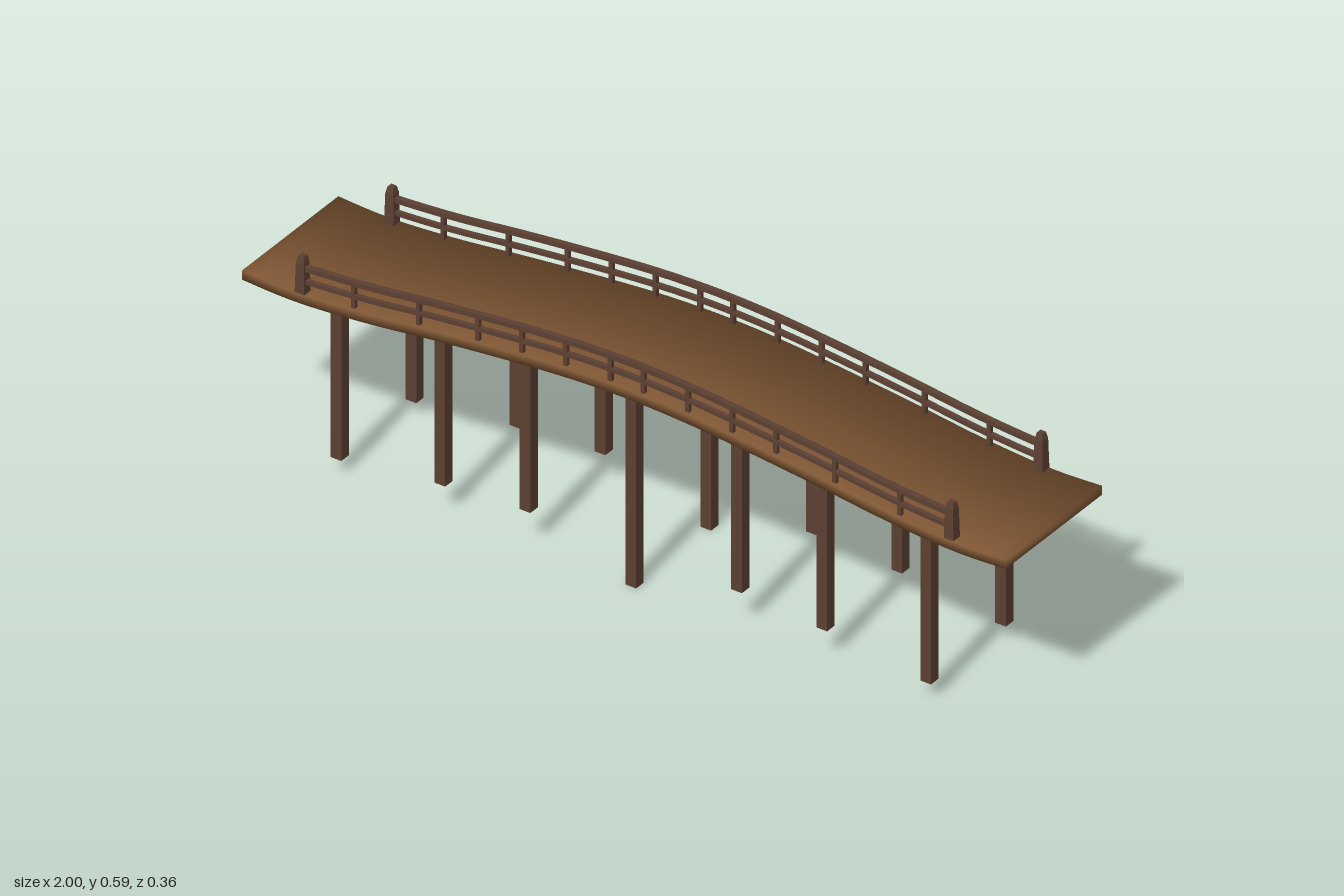
import * as THREE from 'three';

const deckWood = new THREE.MeshStandardMaterial({ color: 0x7d5533 });
deckWood.name = 'deck wood';
const darkWood = new THREE.MeshStandardMaterial({ color: 0x5c4033 });
darkWood.name = 'dark wood';

// Height of the walking surface along x, as a smooth symmetric arch
const half = [[0, 0.518], [0.14, 0.514], [0.28, 0.503], [0.5, 0.48], [0.66, 0.46], [0.77, 0.45], [0.86, 0.445], [0.93, 0.446], [1, 0.45]];
const points = [...half.slice(1).reverse().map(([x, y]) => [-x, y]), ...half];
const arch = new THREE.CatmullRomCurve3(points.map(([x, y]) => new THREE.Vector3(x, y, 0)));
const samples = arch.getPoints(320);
function deckY(x) {
  let i = 0;
  while (i < samples.length - 2 && samples[i + 1].x < x) i++;
  const a = samples[i], b = samples[i + 1];
  return a.y + ((b.y - a.y) * (x - a.x)) / (b.x - a.x);
}

// Rectangular section swept along the arch; soft bends normals over the edges
function sweep(length, top, height, width, soft) {
  const steps = 64, pos = [], nor = [], idx = [];
  const corners = [[0, 1], [0, -1], [1, -1], [1, 1]];
  for (let i = 0; i <= steps; i++) {
    const x = (i / steps - 0.5) * length;
    const slope = (deckY(Math.min(x + 0.01, 1)) - deckY(Math.max(x - 0.01, -1))) / 0.02;
    const endX = i === 0 ? -1 : i === steps ? 1 : 0;
    for (const [low, side] of corners) {
      pos.push(x, deckY(x) + top - low * height, side * width / 2);
      const up = low ? -1 : 1;
      const n = new THREE.Vector3(-slope * up + endX, up, side).normalize();
      nor.push(n.x, n.y, n.z);
    }
  }
  for (let i = 0; i < steps; i++) {
    for (let k = 0; k < 4; k++) {
      const a = i * 4 + k, b = i * 4 + (k + 1) % 4;
      idx.push(a, a + 4, b, b, a + 4, b + 4);
    }
  }
  const e = steps * 4;
  idx.push(0, 1, 2, 0, 2, 3, e, e + 2, e + 1, e, e + 3, e + 2);
  let geo = new THREE.BufferGeometry();
  geo.setAttribute('position', new THREE.Float32BufferAttribute(pos, 3));
  geo.setAttribute('normal', new THREE.Float32BufferAttribute(nor, 3));
  geo.setIndex(idx);
  if (!soft) {
    geo = geo.toNonIndexed();
    geo.computeVertexNormals();
  }
  return geo;
}

function add(parent, name, geo, mat, x = 0, y = 0, z = 0) {
  const mesh = new THREE.Mesh(geo, mat);
  mesh.name = name;
  mesh.position.set(x, y, z);
  parent.add(mesh);
  return mesh;
}

// Upright box between two heights
function upright(parent, name, x, z, y0, y1, w) {
  add(parent, name, new THREE.BoxGeometry(w, y1 - y0, w), darkWood, x, (y0 + y1) / 2, z);
}

// Square end post with a slight taper and a bevelled cap
function endPostGeometry() {
  const profile = [[0, 0], [0.0125, 0], [0.0105, 0.076], [0.007, 0.092], [0, 0.092]];
  const geo = new THREE.LatheGeometry(profile.map(([r, y]) => new THREE.Vector2(r * Math.SQRT2, y)), 4)
    .rotateY(Math.PI / 4).toNonIndexed();
  geo.computeVertexNormals();
  return geo;
}

export function createModel() {
  const bridge = new THREE.Group();
  bridge.name = 'archedFootbridge';

  add(bridge, 'deck', sweep(2, 0, 0.023, 0.36, true), deckWood);

  const legs = [[0, 0], [0.277, 0.09], [0.5, 0.075], [0.772, 0.04]];
  const balusters = [0.043, 0.16, 0.275, 0.39, 0.545, 0.715];

  for (const side of [-1, 1]) {
    // Supporting legs, each cut to its own ground level
    const legRow = new THREE.Group();
    legRow.name = side > 0 ? 'frontLegs' : 'backLegs';
    for (const [lx, foot] of legs) {
      for (const s of lx ? [-1, 1] : [1]) {
        upright(legRow, 'leg', s * lx, side * 0.14, foot, deckY(s * lx) - 0.012, 0.028);
      }
    }
    bridge.add(legRow);

    // Railing: two rails, balusters and end posts
    const railing = new THREE.Group();
    railing.name = side > 0 ? 'frontRailing' : 'backRailing';
    railing.position.z = side * 0.167;
    add(railing, 'topRail', sweep(1.7, 0.069, 0.012, 0.014, false), darkWood);
    add(railing, 'lowerRail', sweep(1.7, 0.034, 0.01, 0.011, false), darkWood);
    for (const s of [-1, 1]) {
      for (const bx of balusters) {
        const y = deckY(s * bx);
        upright(railing, 'baluster', s * bx, 0, y - 0.01, y + 0.062, 0.01);
      }
      add(railing, 'endPost', endPostGeometry(), darkWood, s * 0.85, deckY(0.85) + 0.001, 0);
    }
    bridge.add(railing);
  }
  return bridge;
}
